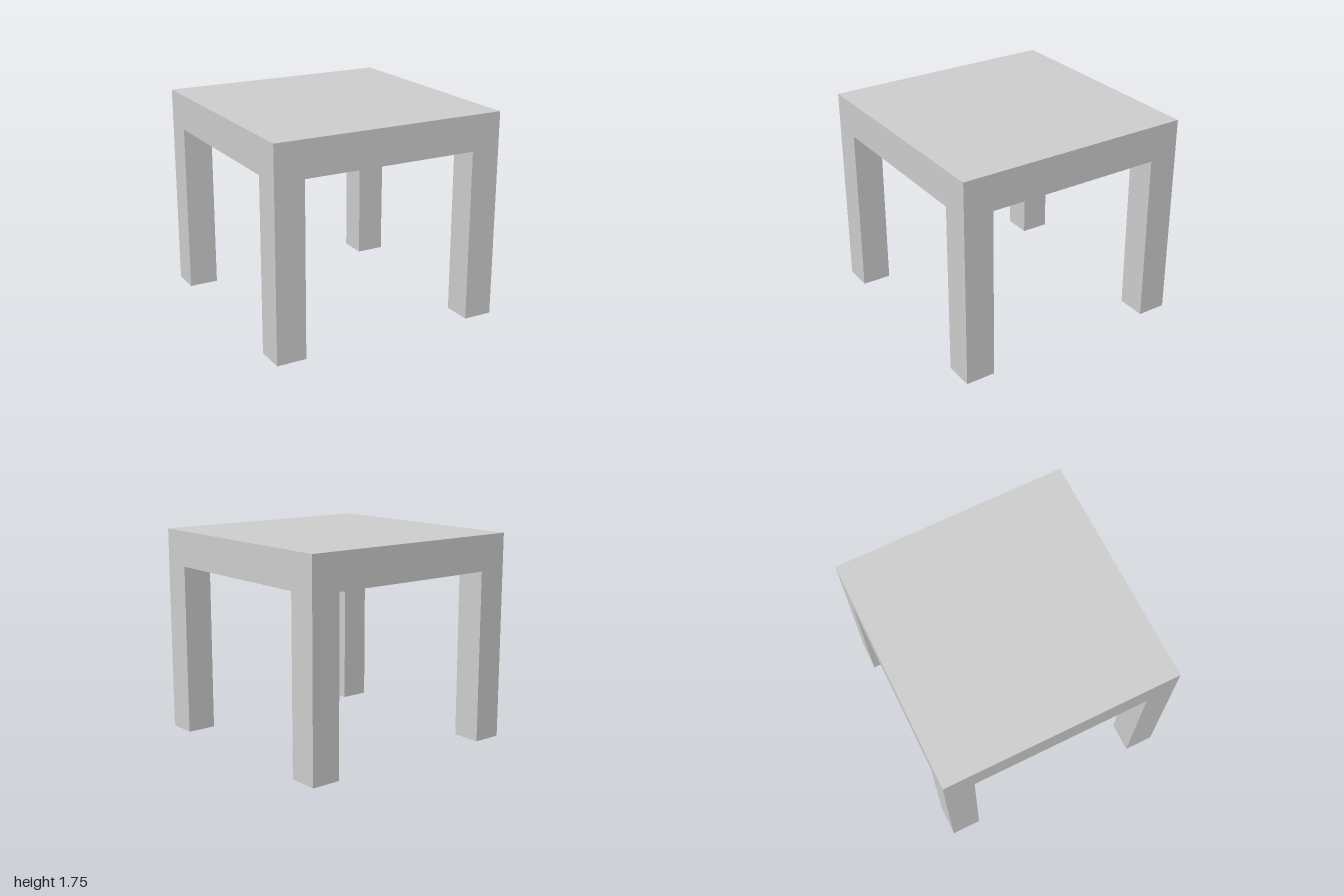
import * as THREE from 'three';

const WIDTH = 2, HEIGHT = 1.75, TOP = 0.3, LEG = 0.25;

export function createModel() {
  const table = new THREE.Group();
  table.name = 'table';
  const material = new THREE.MeshStandardMaterial({ color: 0xcccccc });

  // Thick square top, flush with the outer faces of the legs
  const top = new THREE.Mesh(new THREE.BoxGeometry(WIDTH, TOP, WIDTH), material);
  top.name = 'tableTop';
  top.position.y = HEIGHT - TOP / 2;
  table.add(top);

  // One square leg at each corner
  const legHeight = HEIGHT - TOP;
  const legGeometry = new THREE.BoxGeometry(LEG, legHeight, LEG);
  const offset = (WIDTH - LEG) / 2;
  for (const [zName, z] of [['front', 1], ['back', -1]]) {
    for (const [xName, x] of [['Left', 1], ['Right', -1]]) {
      const leg = new THREE.Mesh(legGeometry, material);
      leg.name = `${zName}${xName}Leg`;
      leg.position.set(x * offset, legHeight / 2, z * offset);
      table.add(leg);
    }
  }
  return table;
}
